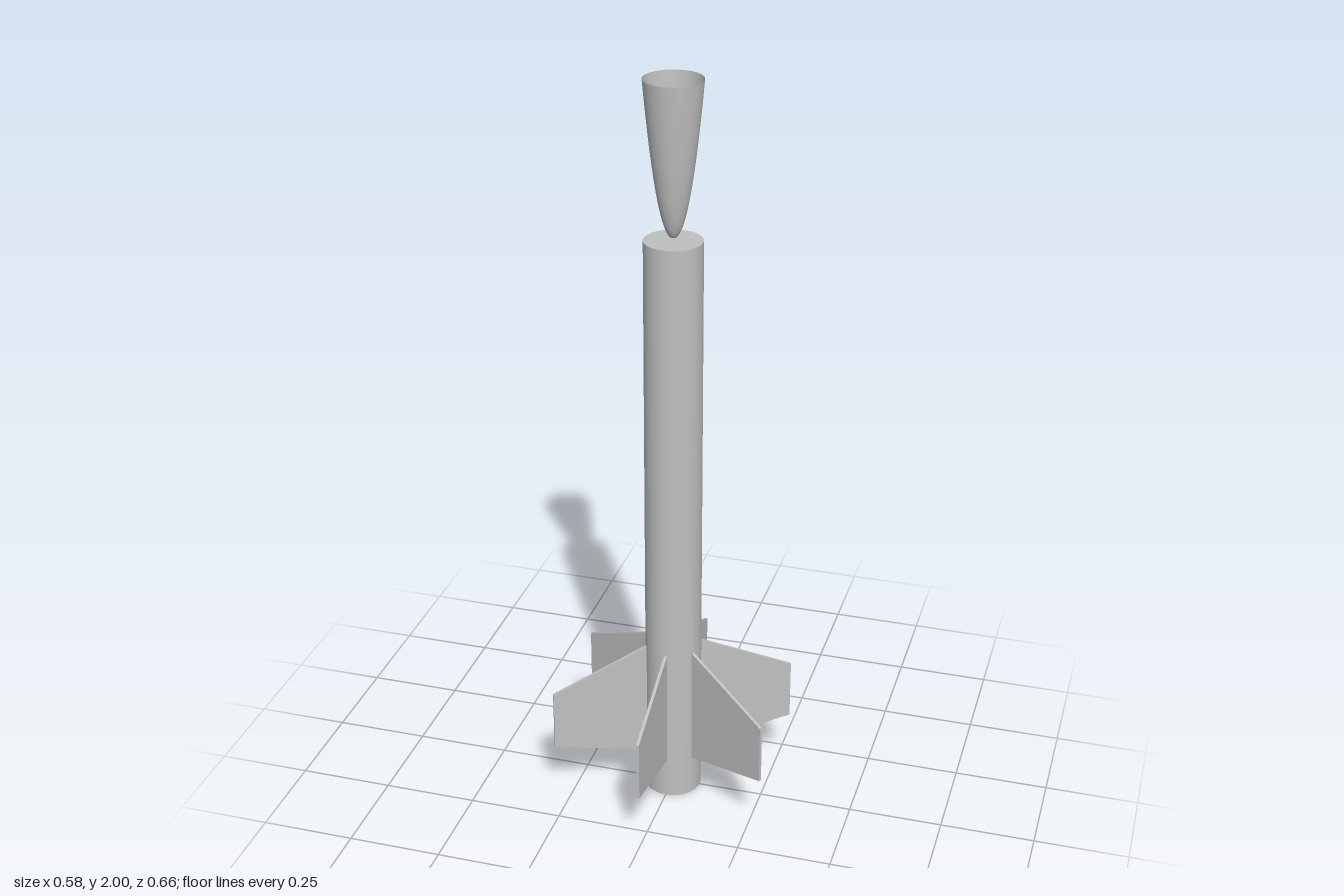
import * as THREE from 'three';

const BODY_RADIUS = 0.075;

export function createModel() {
  const model = new THREE.Group();
  model.name = 'rocket';
  const grey = new THREE.MeshStandardMaterial({ color: 0xc0c0c0, side: THREE.DoubleSide });
  grey.name = 'grey';

  const add = (name, geometry) => {
    const mesh = new THREE.Mesh(geometry, grey);
    mesh.name = name;
    model.add(mesh);
    return mesh;
  };

  // Body tube
  add('bodyTube', new THREE.CylinderGeometry(BODY_RADIUS, BODY_RADIUS, 1.595, 64))
    .position.y = 1.595 / 2;

  // Upturned hollow nose cone, tip down and open at the top
  const profile = [];
  for (let i = 0; i <= 24; i++) {
    const t = (i / 24) ** 1.5;
    profile.push(new THREE.Vector2(BODY_RADIUS * t ** 0.46, 1.6 + 0.4 * t));
  }
  add('noseCone', new THREE.LatheGeometry(profile, 64));

  // Six swept fins
  const thickness = 0.008;
  const outline = new THREE.Shape([
    [0.07, 0.112], [0.331, 0.165], [0.331, 0.33], [0.07, 0.448],
  ].map(([x, y]) => new THREE.Vector2(x, y)));
  const finGeometry = new THREE.ExtrudeGeometry(outline, { depth: thickness, bevelEnabled: false });
  finGeometry.translate(0, 0, -thickness / 2);
  for (let i = 0; i < 6; i++) {
    add('fin' + (i + 1), finGeometry).rotation.y = Math.PI / 6 + i * Math.PI / 3;
  }

  // Launch lug on the left side
  add('launchLug', new THREE.CylinderGeometry(0.01, 0.01, 0.145, 24))
    .position.set(0.084, 0.298, 0);

  return model;
}
